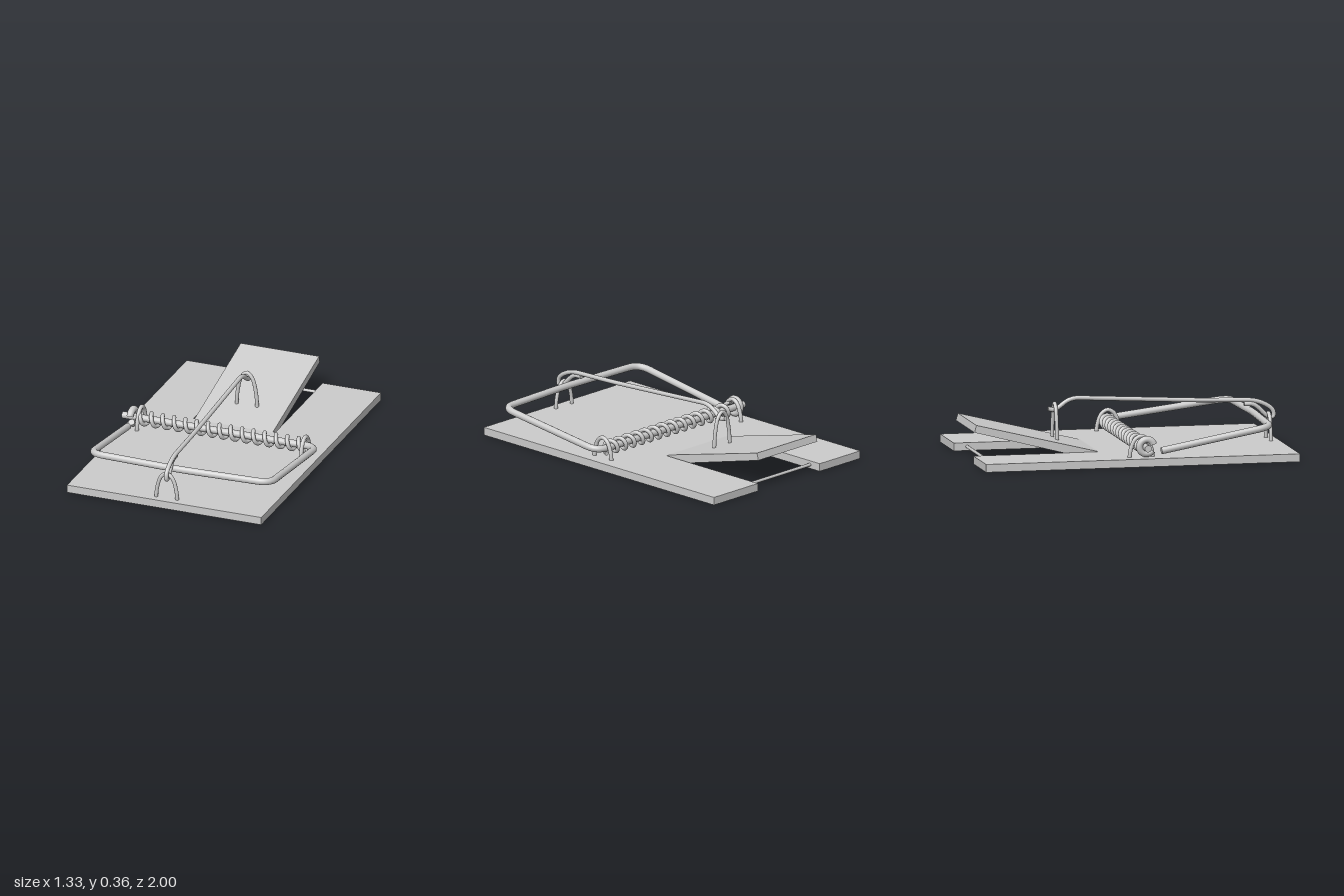
import * as THREE from 'three';
import { mergeGeometries } from 'three/addons/utils/BufferGeometryUtils.js';

const material = new THREE.MeshStandardMaterial({ color: 0xcccccc });
const V = (p) => new THREE.Vector3(...p);

function add(group, name, geometry) {
  const mesh = new THREE.Mesh(geometry, material);
  mesh.name = name;
  group.add(mesh);
  return mesh;
}

// Round wire along a curve, with flat end caps
function wireGeometry(curve, radius, segments) {
  const parts = [new THREE.TubeGeometry(curve, segments, radius, 12)];
  for (const [t, sign] of [[0, -1], [1, 1]]) {
    const cap = new THREE.CircleGeometry(radius, 12);
    const dir = curve.getTangentAt(t).multiplyScalar(sign);
    cap.applyQuaternion(new THREE.Quaternion().setFromUnitVectors(V([0, 0, 1]), dir));
    const p = curve.getPointAt(t);
    parts.push(cap.translate(p.x, p.y, p.z));
  }
  return mergeGeometries(parts);
}

// Straight runs joined by rounded bends
function bentPath(points, bend) {
  const pts = points.map(V);
  const path = new THREE.CurvePath();
  let from = pts[0];
  for (let i = 1; i < pts.length - 1; i++) {
    const [a, b, c] = [pts[i - 1], pts[i], pts[i + 1]];
    const toward = (q) => b.clone().lerp(q, Math.min(bend / b.distanceTo(q), 0.48));
    const start = toward(a), end = toward(c);
    path.add(new THREE.LineCurve3(from, start));
    path.add(new THREE.QuadraticBezierCurve3(start, b, end));
    from = end;
  }
  path.add(new THREE.LineCurve3(from, pts[pts.length - 1]));
  return path;
}

// Helix around the x axis
class Helix extends THREE.Curve {
  constructor(x0, x1, y, z, radius, turns, phase = 0) {
    super();
    Object.assign(this, { x0, x1, y, z, radius, turns, phase });
    this.arcLengthDivisions = 600;
  }
  getPoint(t, target = new THREE.Vector3()) {
    const a = this.phase + t * this.turns * Math.PI * 2;
    return target.set(this.x0 + (this.x1 - this.x0) * t,
      this.y + this.radius * Math.cos(a), this.z + this.radius * Math.sin(a));
  }
}

// Inverted U of wire: half width w, from y0 up to y1, rounded like an arch
function stapleGeometry(w, y0, y1, radius) {
  const curve = new THREE.CatmullRomCurve3([
    [-w, y0, 0], [-w * 0.88, y0 + (y1 - y0) * 0.45, 0], [-w * 0.52, y0 + (y1 - y0) * 0.86, 0],
    [0, y1, 0],
    [w * 0.52, y0 + (y1 - y0) * 0.86, 0], [w * 0.88, y0 + (y1 - y0) * 0.45, 0], [w, y0, 0],
  ].map(V));
  return wireGeometry(curve, radius, 40);
}

export function createModel() {
  const model = new THREE.Group();
  model.name = 'springTrap';

  // Board with a slot cut in from the back edge
  const outline = new THREE.Shape([
    [-0.65, -1], [0.65, -1], [0.65, 1], [0.26, 1], [0.26, 0.21],
    [-0.29, 0.21], [-0.29, 1], [-0.65, 1],
  ].map(([x, y]) => new THREE.Vector2(x, y)));
  const board = new THREE.ExtrudeGeometry(outline, { depth: 0.05, bevelEnabled: false });
  add(model, 'board', board.rotateX(-Math.PI / 2));

  // Tilted bait pedal filling the slot, side profile extruded across x
  const profile = new THREE.Shape([
    [0.2, 0], [0.24, 0.002], [0.99, 0.195], [0.978, 0.24], [0.21, 0.052], [0.2, 0.05],
  ].map(([x, y]) => new THREE.Vector2(x, y)));
  const pedal = new THREE.ExtrudeGeometry(profile, { depth: 0.525, bevelEnabled: false });
  add(model, 'pedal', pedal.rotateY(Math.PI / 2).translate(-0.28, 0, 0));

  // Thin pin across the slot
  const pin = new THREE.CylinderGeometry(0.01, 0.01, 0.6, 12).rotateZ(Math.PI / 2);
  add(model, 'slotPin', pin.translate(-0.015, 0.025, -0.915));

  // Axle and swing bar bent from one wire
  add(model, 'swingBar', wireGeometry(bentPath([
    [-0.665, 0.115, 0.03], [0.635, 0.115, 0.03], [0.642, 0.215, 0.835],
    [0.05, 0.215, 0.858], [-0.56, 0.215, 0.835], [-0.592, 0.09, 0.13],
  ], 0.09), 0.022, 220));

  // End of the swing bar hooked around the axle
  add(model, 'swingBarHook', wireGeometry(
    new Helix(-0.592, -0.598, 0.12, 0.035, 0.045, 0.85, 2.2), 0.022, 40));

  // Coil spring
  add(model, 'spring', wireGeometry(
    new Helix(-0.55, 0.55, 0.115, 0.03, 0.038, 14.5), 0.013, 460));

  // Staples holding the axle
  for (const [x, z] of [[-0.55, 0.01], [0.563, 0.05]]) {
    const staple = add(model, 'axleStaple', stapleGeometry(0.075, 0.03, 0.18, 0.013));
    staple.rotation.y = Math.PI / 2;
    staple.position.set(x, 0, z);
  }

  // Staples for the locking bar, on the board and on the pedal
  add(model, 'frontStaple', stapleGeometry(0.072, 0.03, 0.215, 0.012)).position.set(-0.005, 0, 0.945);
  add(model, 'pedalStaple', stapleGeometry(0.07, 0.08, 0.322, 0.012)).position.set(-0.015, 0, -0.42);

  // Locking bar, hooked at the front and bent down at the pedal
  add(model, 'lockingBar', wireGeometry(bentPath([
    [-0.004, 0.275, 0.79], [-0.002, 0.275, 0.86], [0.004, 0.19, 0.94], [0.006, 0.185, 0.985],
    [0.006, 0.245, 0.975], [0.005, 0.297, 0.87], [0.003, 0.308, 0.5], [-0.004, 0.352, -0.32],
    [-0.006, 0.275, -0.415], [-0.006, 0.288, -0.46],
  ], 0.06), 0.014, 180));

  return model;
}
